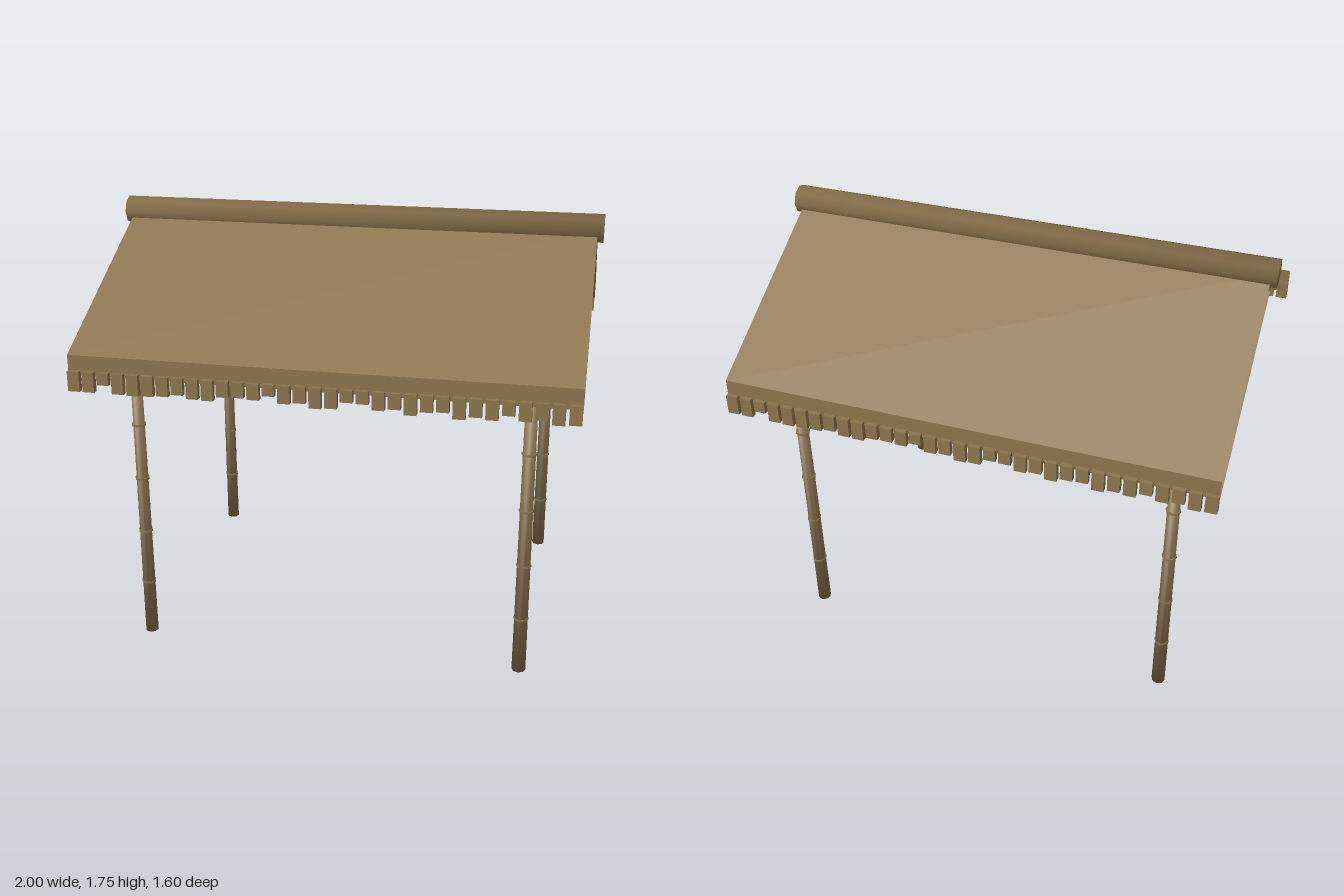
import * as THREE from 'three';

const bamboo = new THREE.MeshStandardMaterial({ color: 0x8b744d });
bamboo.name = 'dry bamboo';
const thatch = new THREE.MeshStandardMaterial({ color: 0x8b744d, side: THREE.DoubleSide });
thatch.name = 'dry thatch';

function add(parent, name, geometry, material, x = 0, y = 0, z = 0) {
  const mesh = new THREE.Mesh(geometry, material);
  mesh.name = name;
  mesh.position.set(x, y, z);
  parent.add(mesh);
  return mesh;
}

// Eight-sided pole whose end edges are softly rounded by tilted normals
function poleGeometry(top, bottom, length) {
  const g = new THREE.CylinderGeometry(top, bottom, length, 8);
  const p = g.attributes.position;
  const n = new THREE.Vector3();
  for (let i = 0; i < p.count; i++) {
    const radial = Math.hypot(p.getX(i), p.getZ(i));
    n.set(p.getX(i), 0, p.getZ(i));
    if (radial > 1e-5) n.divideScalar(radial);
    n.y = Math.sign(p.getY(i));
    n.normalize();
    g.attributes.normal.setXYZ(i, n.x, n.y, n.z);
  }
  return g;
}

// Sweeps a closed (z, y) outline along x, leaving the gable ends open
function sweepOpen(outline, halfWidth) {
  const pos = [];
  outline.forEach(([z0, y0], i) => {
    const [z1, y1] = outline[(i + 1) % outline.length];
    const a = [-halfWidth, y0, z0], b = [halfWidth, y0, z0];
    const c = [halfWidth, y1, z1], d = [-halfWidth, y1, z1];
    pos.push(...a, ...b, ...c, ...a, ...c, ...d);
  });
  const g = new THREE.BufferGeometry();
  g.setAttribute('position', new THREE.Float32BufferAttribute(pos, 3));
  g.computeVertexNormals();
  return g;
}

export function createModel() {
  const model = new THREE.Group();
  model.name = 'thatchedShelter';

  // Gabled roof with vertical eave faces
  const outline = [[0.78, 1.2], [0.78, 1.28], [0, 1.69], [-0.78, 1.28], [-0.78, 1.2], [0, 1.61]];
  add(model, 'roof', sweepOpen(outline, 0.975), thatch);

  // Ridge pole
  add(model, 'ridgePole', poleGeometry(0.058, 0.058, 2), bamboo, 0, 1.692, 0).rotation.z = Math.PI / 2;

  // Ragged fringe along both eaves (drop of each strand in thousandths)
  const drops = [80, 80, 48, 80, 82, 80, 76, 66, 78, 80, 62, 60, 64, 45, 70, 64, 80,
    76, 48, 50, 70, 62, 80, 64, 60, 82, 70, 76, 55, 72, 62, 78, 74];
  for (const side of [1, -1]) {
    const fringe = new THREE.Group();
    fringe.name = side > 0 ? 'frontFringe' : 'backFringe';
    model.add(fringe);
    drops.forEach((drop, i) => {
      const h = drop / 1000;
      const x = side * (-0.95 + i * 1.9 / (drops.length - 1));
      add(fringe, 'strand', new THREE.BoxGeometry(0.047, h, 0.024), bamboo, x, 1.22 - h / 2, side * 0.787);
    });
  }

  // Four jointed posts
  const postGeo = poleGeometry(0.024, 0.028, 1.175);
  const jointGeo = new THREE.CylinderGeometry(0.03, 0.03, 0.008, 8);
  for (const x of [0.782, -0.782]) {
    for (const z of [0.585, -0.585]) {
      const post = new THREE.Group();
      post.name = (z > 0 ? 'front' : 'back') + (x > 0 ? 'Left' : 'Right') + 'Post';
      post.position.set(x, 0, z);
      model.add(post);
      add(post, 'pole', postGeo, bamboo, 0, 0.5875, 0);
      for (let i = 1; i < 5; i++) add(post, 'joint', jointGeo, bamboo, 0, i * 0.235, 0);
    }
  }
  return model;
}
